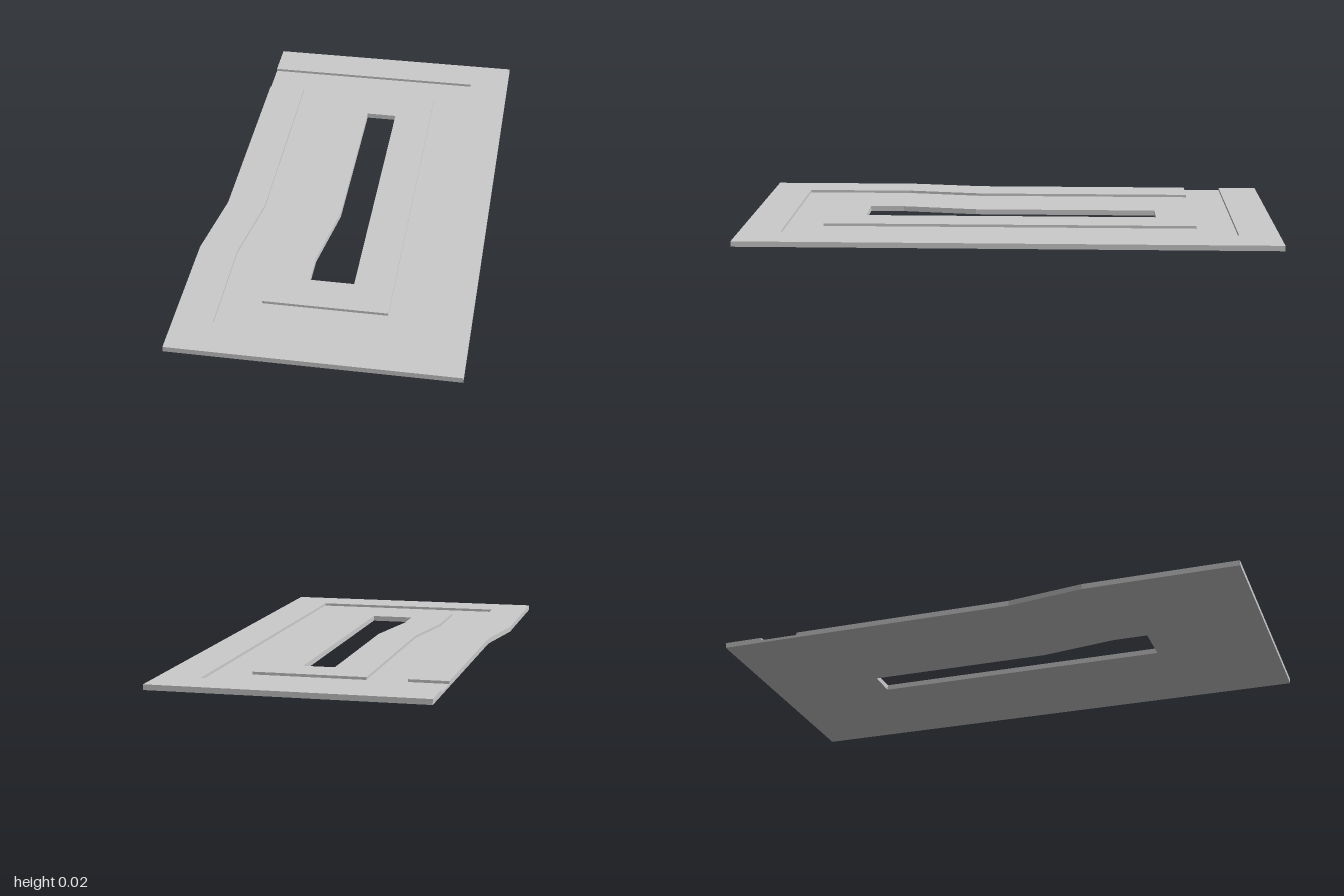
import * as THREE from 'three';

const TOP = 0.02, FLOOR = 0.01;      // raised surface and recessed lane heights
const BEND = [0.14, 0.43];           // z range where the left-hand edges shift sideways
const EXIT = [-0.85, -0.705];        // z range of the lane's side opening

// Bent edge from back to front: x = a behind the bend, x = b in front of it
const bentEdge = (a, b, zBack, zFront) => [
  [a, zBack], [a, BEND[0]], [b, BEND[1]], [b, zFront],
];

// Closed loop: bent edge on the -x side, straight on the +x side
const loop = (a, b, right, zEnd) => [
  ...bentEdge(a, b, -zEnd, zEnd), [right, zEnd], [right, -zEnd],
];

const toPoints = (pts) => pts.map(([x, z]) => new THREE.Vector2(x, -z));

// Flat slab standing on y = 0, outlined in x/z with an optional hole
function slab(name, outline, height, hole) {
  const shape = new THREE.Shape(toPoints(outline));
  if (hole) shape.holes.push(new THREE.Path(toPoints(hole)));
  const geo = new THREE.ExtrudeGeometry(shape, { depth: height, bevelEnabled: false });
  geo.rotateX(-Math.PI / 2);
  const mesh = new THREE.Mesh(geo, new THREE.MeshStandardMaterial({ color: 0xcccccc, flatShading: true }));
  mesh.name = name;
  return mesh;
}

export function createModel() {
  const group = new THREE.Group();
  group.name = 'trackBoard';

  const island = loop(-0.188, -0.232, 0.225, 0.705);
  const opening = loop(-0.037, -0.083, 0.08, 0.56);
  const outerEdge = -0.48, laneEdge = -0.335;

  // Raised border, interrupted by the lane's exit on the -x side
  const border = [
    ...bentEdge(outerEdge, -0.523, EXIT[1], 1),
    [0.523, 1], [0.523, -1], [outerEdge, -1], [outerEdge, EXIT[0]],
    [0.368, EXIT[0]],
    [0.368, 0.845],
    ...bentEdge(laneEdge, -0.38, EXIT[1], 0.845).reverse(),
  ];

  // Recessed lane around the island, running out through the exit
  const lane = [
    [outerEdge, EXIT[0]], [outerEdge, EXIT[1]],
    ...bentEdge(laneEdge, -0.38, EXIT[1], 0.845),
    [0.368, 0.845], [0.368, EXIT[0]],
  ];

  group.add(
    slab('border', border, TOP),
    slab('lane', lane, FLOOR, island),
    slab('island', island, TOP, opening),
  );
  return group;
}
